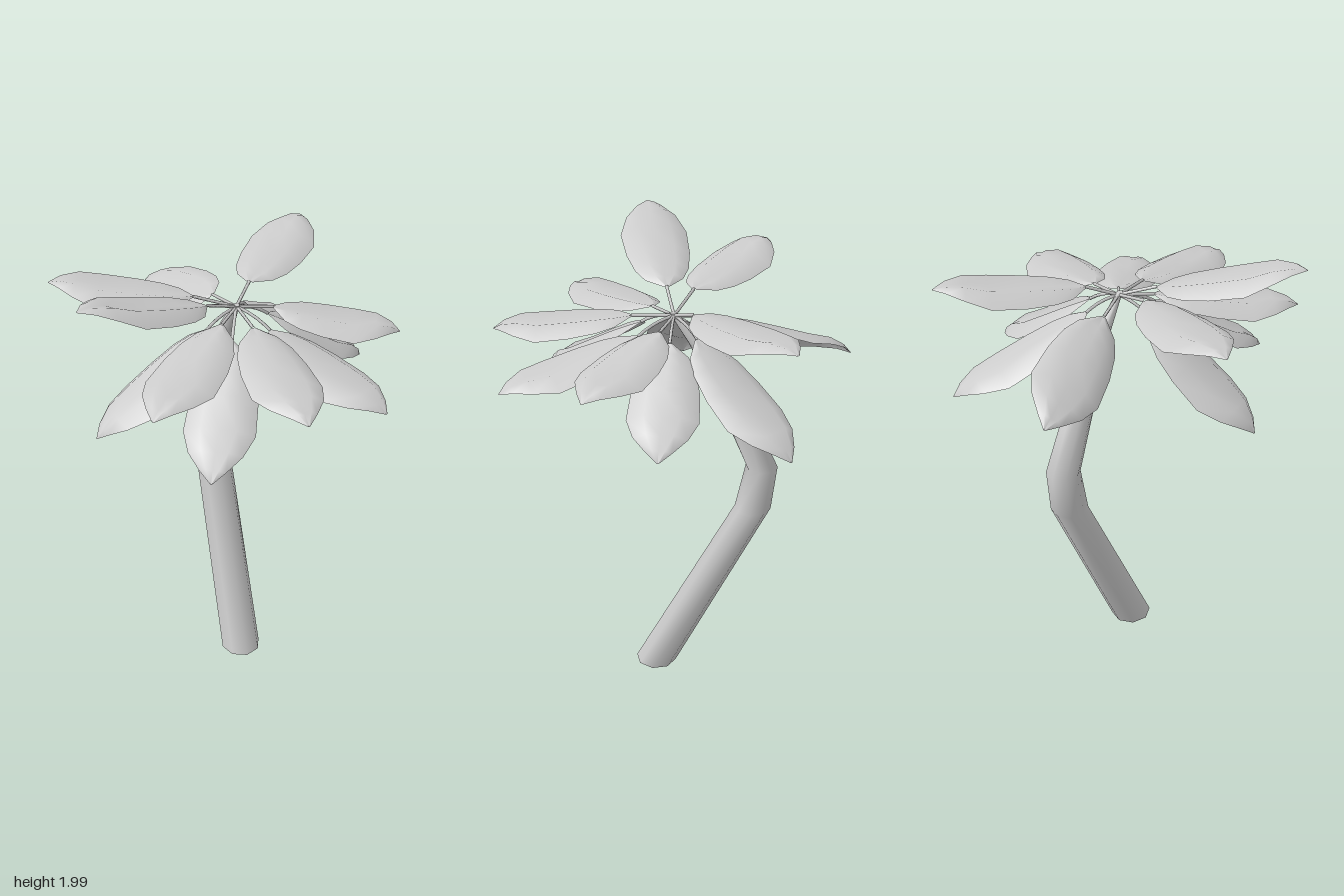
import * as THREE from 'three';
import { toCreasedNormals } from 'three/addons/utils/BufferGeometryUtils.js';

const material = new THREE.MeshStandardMaterial({ color: 0xcccccc });
const leafMaterial = new THREE.MeshStandardMaterial({ color: 0xcccccc, side: THREE.DoubleSide });
const HUB = new THREE.Vector3(0.04, 1.76, -0.03);

// Trunk rings from the top down: y, z, radius across x, radius across z
const RINGS = [
  [1.77, -0.025, 0.012, 0.016],
  [1.64, -0.13, 0.026, 0.038],
  [1.43, -0.26, 0.054, 0.064],
  [1.1, -0.41, 0.075, 0.068],
  [0.89, -0.378, 0.081, 0.078],
  [0, 0.052, 0.09, 0.093],
];

// Leaf outline: fraction of the length, half width, lift of the midrib
const OUTLINE = [
  [0, 0.012, 0],
  [0.1, 0.08, 0.002],
  [0.22, 0.114, 0.004],
  [0.4, 0.136, 0.005],
  [0.64, 0.144, 0.008],
  [0.8, 0.108, 0.022],
  [0.92, 0.052, 0.018],
  [1, 0.003, 0],
];

// Leaf cross-section: position across the half width, height relative to it
const SECTION = [[-1, -0.2], [-0.5, 0.11], [0, 0], [0.5, 0.11], [1, -0.2]];

// Each frond: leaf base, leaf tip, roll about its length
const FRONDS = [
  [[-0.01, 1.745, -0.19], [-0.16, 1.565, -0.74], -0.5],
  [[0.13, 1.81, -0.13], [0.53, 1.86, -0.585], 0],
  [[0.12, 1.7, -0.14], [0.475, 1.38, -0.575], 0],
  [[0.18, 1.7, -0.04], [0.625, 1.405, -0.08], 0],
  [[0.19, 1.75, 0], [0.67, 1.655, 0.2], 0],
  [[0.14, 1.7, 0.1], [0.44, 1.54, 0.6], 0],
  [[0.05, 1.75, 0.145], [0.06, 1.645, 0.735], 0],
  [[-0.03, 1.69, 0.12], [-0.27, 1.355, 0.58], 0],
  [[-0.06, 1.75, 0.08], [-0.475, 1.645, 0.525], 0],
  [[-0.1, 1.69, 0], [-0.59, 1.3, 0.05], 0],
  [[-0.11, 1.82, 0.03], [-0.67, 1.985, 0.23], 0],
  [[-0.13, 1.81, -0.08], [-0.67, 1.85, -0.31], 0],
];

// Tapered, bent trunk: a cylinder whose rows follow the rings
function makeTrunk() {
  const rows = RINGS.length - 1;
  const geometry = new THREE.CylinderGeometry(1, 1, 1, 8, rows);
  const p = geometry.attributes.position;
  for (let i = 0; i < p.count; i++) {
    const [y, z, rx, rz] = RINGS[Math.round((0.5 - p.getY(i)) * rows)];
    p.setXYZ(i, 0.039 + p.getX(i) * rx, y, z + p.getZ(i) * rz);
  }
  const mesh = new THREE.Mesh(toCreasedNormals(geometry, Math.PI / 3), material);
  mesh.name = 'trunk';
  return mesh;
}

// Leaf blade: cross-sections along the midrib, with a groove and drooping edges
function makeLeaf(base, tip, roll) {
  const along = tip.clone().sub(base);
  const side = along.clone().cross(new THREE.Vector3(0, 1, 0)).normalize();
  side.applyAxisAngle(along.clone().normalize(), roll);
  const normal = side.clone().cross(along).normalize();
  const positions = [], index = [];
  const n = SECTION.length;
  OUTLINE.forEach(([t, halfWidth, lift], row) => {
    SECTION.forEach(([u, h], col) => {
      const v = base.clone().addScaledVector(along, t)
        .addScaledVector(side, u * halfWidth)
        .addScaledVector(normal, lift + h * halfWidth);
      positions.push(v.x, v.y, v.z);
      if (row && col) {
        const d = row * n + col, c = d - 1, b = d - n, a = b - 1;
        index.push(a, b, c, b, d, c);
      }
    });
  });
  const geometry = new THREE.BufferGeometry();
  geometry.setAttribute('position', new THREE.Float32BufferAttribute(positions, 3));
  geometry.setIndex(index);
  geometry.computeVertexNormals();
  const mesh = new THREE.Mesh(geometry, leafMaterial);
  mesh.name = 'leaf';
  return mesh;
}

// Thin stalk from the crown to the leaf base, bowed upward for low leaves
function makeStalk(base) {
  const middle = HUB.clone().lerp(base, 0.55);
  middle.y += base.y < 1.72 ? 0.025 : 0;
  const curve = new THREE.QuadraticBezierCurve3(HUB, middle, base);
  const mesh = new THREE.Mesh(new THREE.TubeGeometry(curve, 5, 0.007, 5), material);
  mesh.name = 'stalk';
  return mesh;
}

export function createModel() {
  const model = new THREE.Group();
  model.name = 'palmTree';
  model.add(makeTrunk());
  for (const [b, t, roll] of FRONDS) {
    const base = new THREE.Vector3(...b);
    const frond = new THREE.Group();
    frond.name = 'frond';
    frond.add(makeStalk(base), makeLeaf(base, new THREE.Vector3(...t), roll));
    model.add(frond);
  }
  return model;
}
